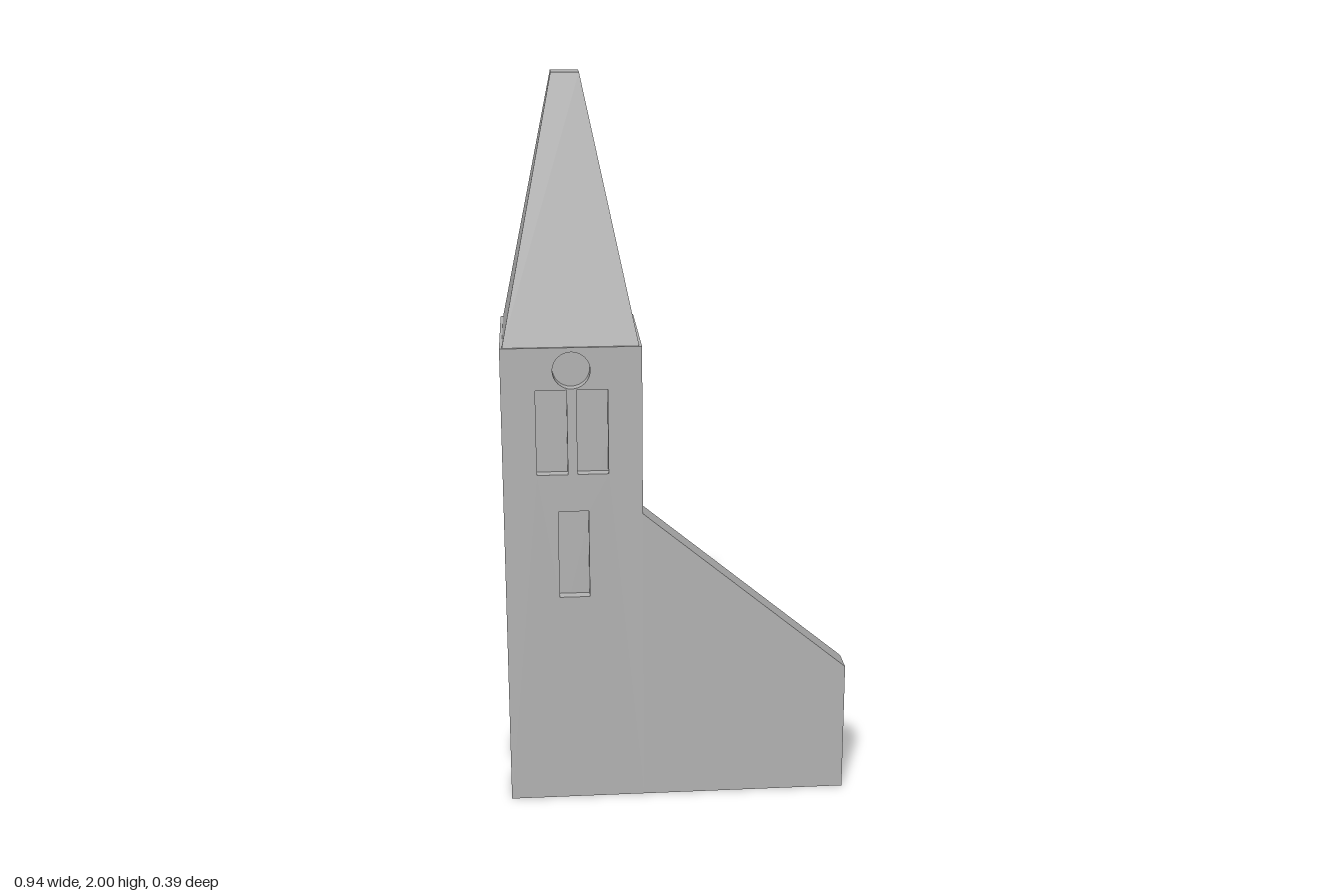
import * as THREE from 'three';
import { toCreasedNormals } from 'three/addons/utils/BufferGeometryUtils.js';

const CX = -0.283;              // tower centre in x
const W = 0.374, D = 0.389;     // tower width (x) and depth (z)
const H = 1.305;                // tower height
const RECESS = 0.03;            // depth of the openings

function addMesh(parent, name, geometry, material) {
  const mesh = new THREE.Mesh(toCreasedNormals(geometry, 0.5), material);
  mesh.name = name;
  parent.add(mesh);
  return mesh;
}

function rectHole(x0, x1, y0, y1) {
  const p = new THREE.Path();
  p.moveTo(x0, y0).lineTo(x0, y1).lineTo(x1, y1).lineTo(x1, y0).closePath();
  return p;
}

// One tower face: round window, paired belfry windows, lower window, optional door
function facadeGeometry(width, hasDoor) {
  const h = width / 2, s = new THREE.Shape();
  s.moveTo(-h, 0);
  if (hasDoor) s.lineTo(-0.052, 0).lineTo(-0.052, 0.265).lineTo(0.052, 0.265).lineTo(0.052, 0);
  s.lineTo(h, 0).lineTo(h, H).lineTo(-h, H).closePath();
  const round = new THREE.Path();
  round.absarc(0, 1.243, 0.05, 0, Math.PI * 2, true);
  s.holes.push(
    round,
    rectHole(-0.096, -0.013, 0.956, 1.19),
    rectHole(0.013, 0.096, 0.956, 1.19),
    rectHole(-0.041, 0.041, 0.605, 0.852)
  );
  return new THREE.ExtrudeGeometry(s, { depth: RECESS, bevelEnabled: false, curveSegments: 16 });
}

export function createModel() {
  const model = new THREE.Group();
  model.name = 'bellTower';
  const stone = new THREE.MeshStandardMaterial({ color: 0xb4b4b4 });
  stone.name = 'grey stone';

  const tower = new THREE.Group();
  tower.name = 'tower';
  tower.position.x = CX;
  model.add(tower);

  // Inner core closes the back of every opening
  const core = new THREE.BoxGeometry(W - 2 * RECESS, H, D - 2 * RECESS);
  addMesh(tower, 'towerCore', core.translate(0, H / 2, 0), stone);

  // Four faces; the side ones fit between front and back
  const faces = [
    ['frontFace', 0, W, D / 2, false],
    ['leftFace', Math.PI / 2, D - 2 * RECESS, W / 2, false],
    ['backFace', Math.PI, W, D / 2, false],
    ['rightFace', -Math.PI / 2, D - 2 * RECESS, W / 2, true],
  ];
  for (const [name, angle, width, dist, hasDoor] of faces) {
    const g = facadeGeometry(width, hasDoor).translate(0, 0, dist - RECESS);
    addMesh(tower, name, g, stone).rotation.y = angle;
  }

  // Truncated four-sided spire, set slightly inside the tower edge
  const spire = new THREE.CylinderGeometry(0.037 * Math.SQRT2, 0.18 * Math.SQRT2, 2 - H, 4);
  spire.rotateY(Math.PI / 4).scale(1, 1, 0.188 / 0.18).translate(0, (2 + H) / 2, 0);
  addMesh(tower, 'spire', spire, stone);

  // Sloping wall flush with the tower front
  const x0 = CX + W / 2;
  const outline = new THREE.Shape();
  outline.moveTo(x0, 0).lineTo(0.47, 0).lineTo(0.47, 0.37).lineTo(x0, 0.84).closePath();
  const wall = new THREE.ExtrudeGeometry(outline, { depth: 0.079, bevelEnabled: false });
  addMesh(model, 'slopingWall', wall.translate(0, 0, D / 2 - 0.079), stone);

  return model;
}
